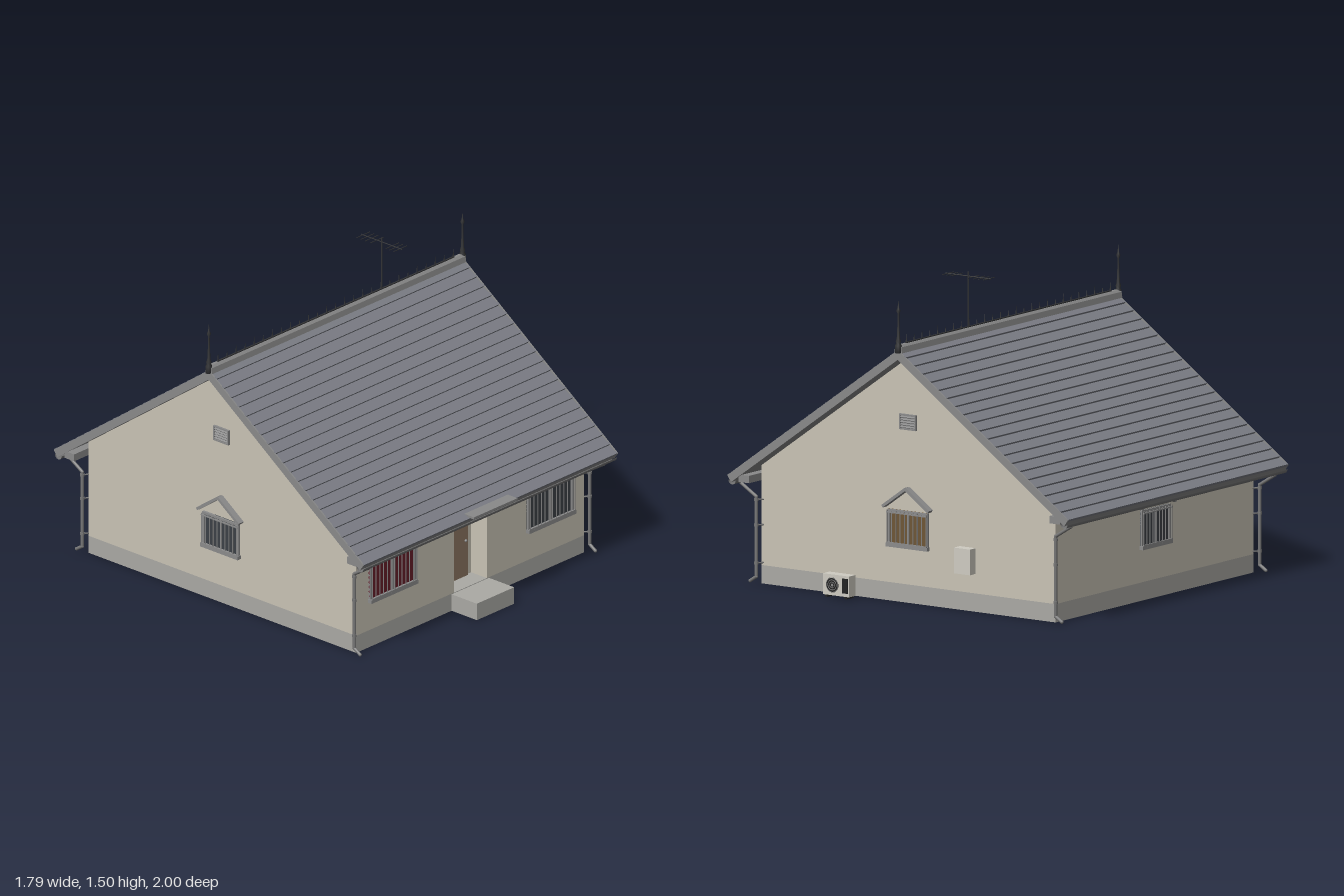
import * as THREE from 'three';

const mat = (color) => new THREE.MeshStandardMaterial({ color, side: THREE.DoubleSide });
const M = {
  wall: mat(0xcac4b6), plinth: mat(0xabaaa5), tile: mat(0x7a7c84), trim: mat(0x8a8a8a), iron: mat(0x333436),
  pipe: mat(0x777777), bar: mat(0x8c8c8c), glass: mat(0x3c4146), red: mat(0x651c28), brown: mat(0x6e5636),
  door: mat(0x8c7662), white: mat(0xcfccc2), black: mat(0x222222),
};

function add(parent, name, geo, material, x = 0, y = 0, z = 0) {
  const m = new THREE.Mesh(geo, material);
  m.name = name;
  m.position.set(x, y, z);
  parent.add(m);
  return m;
}

// Box given by its limits on each axis
function box(parent, name, material, x0, x1, y0, y1, z0, z1) {
  return add(parent, name, new THREE.BoxGeometry(x1 - x0, y1 - y0, z1 - z0), material,
    (x0 + x1) / 2, (y0 + y1) / 2, (z0 + z1) / 2);
}

// Round rod between two points
function rod(parent, name, material, a, b, r, sides = 8) {
  const p = new THREE.Vector3(...a), q = new THREE.Vector3(...b), d = q.clone().sub(p);
  const m = add(parent, name, new THREE.CylinderGeometry(r, r, d.length(), sides), material);
  m.position.copy(p).add(q).multiplyScalar(0.5);
  m.quaternion.setFromUnitVectors(new THREE.Vector3(0, 1, 0), d.normalize());
  return m;
}

// Profile in (z, y) swept along x
function sweepX(pts, x0, x1) {
  const shape = new THREE.Shape(pts.map((p) => new THREE.Vector2(p[0], p[1])));
  const g = new THREE.ExtrudeGeometry(shape, { depth: x1 - x0, bevelEnabled: false });
  return g.rotateY(-Math.PI / 2).translate(x1, 0, 0);
}

function group(parent, name, x = 0, y = 0, z = 0, ry = 0) {
  const g = new THREE.Group();
  g.name = name;
  g.position.set(x, y, z);
  g.rotation.y = ry;
  parent.add(g);
  return g;
}

const XC = -0.01, ZR = -0.012, RIDGE = 1.217, TAN = 0.713;
const A = Math.atan(TAN), SLOPE = 0.983 / Math.cos(A);

// Barred window with a small gabled hood; origin at bottom centre on the wall
function buildWindow(parent, name, x, y, z, ry, w, h, pane) {
  const g = group(parent, name, x, y, z, ry), hw = w / 2, t = 0.012;
  box(g, 'pane', pane, -hw, hw, 0, h, -0.01, 0.004);
  for (const s of [-1, 1]) {
    box(g, 'frameSide', M.bar, s * (hw - t / 2) - t / 2, s * (hw - t / 2) + t / 2, 0, h, 0, 0.012);
    const rise = 0.095, run = hw + 0.018, len = Math.hypot(rise, run);
    const hood = add(g, 'hoodBoard', new THREE.BoxGeometry(len, 0.014, 0.032), M.bar,
      s * run / 2, h + 0.012 + rise / 2, 0.016);
    hood.rotation.z = -s * Math.atan2(rise, run);
  }
  box(g, 'frameTop', M.bar, -hw, hw, h - t, h, 0, 0.012);
  box(g, 'frameSill', M.bar, -hw - 0.004, hw + 0.004, -0.006, t, 0, 0.022);
  box(g, 'mullion', M.bar, -0.005, 0.005, 0, h, 0, 0.01);
  // Grille of vertical bars between two rails
  const n = Math.round(w / 0.026);
  for (let i = 0; i <= n; i++) {
    const bx = -hw + 0.004 + (w - 0.008) * i / n;
    rod(g, 'bar', M.bar, [bx, 0.004, 0.02], [bx, h - 0.004, 0.02], 0.0025, 6);
  }
  for (const ry2 of [0.014, h - 0.014]) box(g, 'rail', M.bar, -hw, hw, ry2 - 0.003, ry2 + 0.003, 0.017, 0.023);
}

// One roof slope with its gutter and two downpipes
function buildRoofSide(parent, name, ry) {
  const g = group(parent, name, XC, 0, ZR, ry), X = 0.873;
  const P = (s, n) => [s * Math.cos(A) + n * Math.sin(A), RIDGE - s * Math.sin(A) + n * Math.cos(A)];
  const rows = 21, tiles = [P(0, -0.013)];
  for (let i = 1; i <= rows; i++) tiles.push(P(SLOPE * i / rows, 0), P(SLOPE * i / rows, -0.011));
  tiles.push(P(SLOPE, -0.016), P(0, -0.016));
  add(g, 'tiles', sweepX(tiles, -X, X), M.tile);
  add(g, 'roofBoards', sweepX([P(0, -0.014), P(SLOPE, -0.014), P(SLOPE, -0.04), P(0, -0.04)], -X, X), M.trim);
  for (const s of [-1, 1]) {
    const x = s * X;
    add(g, 'bargeBoard', sweepX([P(0, -0.003), P(SLOPE, -0.003), P(SLOPE, -0.041), P(0, -0.041)],
      x - 0.004, x + 0.004), M.trim);
  }
  box(g, 'soffit', M.trim, -X + 0.01, X - 0.01, 0.485, 0.52, 0.865, 0.925);
  const half = new THREE.CylinderGeometry(0.021, 0.021, 2 * X, 12, 1, true, Math.PI, Math.PI).rotateZ(Math.PI / 2);
  add(g, 'gutter', half, M.pipe, 0, 0.492, 0.956);
  for (const s of [-1, 1]) {
    const x = s * 0.81;
    const path = [[x, 0.485, 0.956], [x, 0.47, 0.95], [x, 0.415, 0.862], [x, 0.035, 0.862], [x, 0.012, 0.898]];
    for (let i = 0; i + 1 < path.length; i++) {
      rod(g, 'downpipe', M.pipe, path[i], path[i + 1], 0.008, 10);
      add(g, 'pipeElbow', new THREE.SphereGeometry(0.0085, 10, 8), M.pipe, ...path[i + 1]);
    }
    for (const y of [0.1, 0.28, 0.4]) {
      rod(g, 'pipeClamp', M.pipe, [x, y - 0.006, 0.862], [x, y + 0.006, 0.862], 0.011, 10);
      rod(g, 'pipeBracket', M.pipe, [x, y, 0.862], [s * 0.78, y, 0.84], 0.004, 6);
    }
  }
}

export function createModel() {
  const house = new THREE.Group();
  house.name = 'house';
  const WX0 = -0.797, WX1 = 0.773, ZF = 0.84, ZB = -0.855, BASE = 0.087, REC = 0.74;
  const under = (z) => 1.175 - TAN * Math.abs(z - ZR);

  // Walls with a recessed entrance
  box(house, 'plinth', M.plinth, WX0, WX1, 0, BASE, ZB, ZF);
  const gable = [[ZB, BASE], [ZF, BASE], [ZF, under(ZF)], [ZR, under(ZR)], [ZB, under(ZB)]];
  const notched = [[ZB, BASE], [REC, BASE], [REC, 0.5], [ZF, 0.5], ...gable.slice(2)];
  add(house, 'wallRight', sweepX(gable, WX0, -0.122), M.wall);
  add(house, 'wallEntrance', sweepX(notched, -0.122, 0.103), M.wall);
  add(house, 'wallLeft', sweepX(gable, 0.103, WX1), M.wall);
  box(house, 'door', M.door, -0.093, 0.07, BASE, 0.475, REC, REC + 0.01);
  add(house, 'doorHandle', new THREE.SphereGeometry(0.007, 10, 8), M.bar, 0.05, 0.27, REC + 0.016);
  box(house, 'step', M.plinth, -0.14, 0.117, 0, 0.084, ZF - 0.01, 1);
  box(house, 'doorCanopy', M.trim, -0.16, 0.14, 0.52, 0.531, ZF, 1);
  box(house, 'porchLamp', M.white, 0.14, 0.158, 0.425, 0.46, ZF, ZF + 0.018);

  // Windows
  buildWindow(house, 'frontWindowRight', -0.553, 0.235, ZF, 0, 0.315, 0.207, M.red);
  buildWindow(house, 'frontWindowLeft', 0.534, 0.235, ZF, 0, 0.315, 0.207, M.glass);
  buildWindow(house, 'backWindow', XC, 0.25, ZB, Math.PI, 0.23, 0.18, M.glass);
  buildWindow(house, 'sideWindowLeft', WX1, 0.265, -0.01, Math.PI / 2, 0.23, 0.172, M.brown);
  buildWindow(house, 'sideWindowRight', WX0, 0.265, -0.01, -Math.PI / 2, 0.23, 0.172, M.glass);

  // Louvred gable vents
  for (const s of [-1, 1]) {
    const v = group(house, 'gableVent', s > 0 ? WX1 : WX0, 0.858, -0.008, s * Math.PI / 2);
    box(v, 'ventPlate', M.trim, -0.048, 0.048, -0.037, 0.037, -0.005, 0.004);
    for (const e of [-1, 1]) {
      box(v, 'ventSide', M.trim, e * 0.045 - 0.003, e * 0.045 + 0.003, -0.037, 0.037, 0, 0.012);
      box(v, 'ventRail', M.trim, -0.048, 0.048, e * 0.034 - 0.003, e * 0.034 + 0.003, 0, 0.012);
    }
    for (let i = -2; i <= 2; i++) {
      const slat = add(v, 'slat', new THREE.BoxGeometry(0.086, 0.003, 0.012), M.trim, 0, i * 0.012, 0.006);
      slat.rotation.x = 0.6;
    }
  }

  // Roof slopes, ridge cap and cresting
  buildRoofSide(house, 'roofFront', 0);
  buildRoofSide(house, 'roofBack', Math.PI);
  const ridge = group(house, 'ridge', XC, 0, ZR - 0.002);
  add(ridge, 'ridgeCap', sweepX([[-0.022, 1.2], [0.022, 1.2], [0.018, 1.228], [0.008, 1.238], [-0.008, 1.238],
    [-0.018, 1.228]], -0.875, 0.875), M.trim);
  box(ridge, 'crestRail', M.iron, -0.815, 0.815, 1.236, 1.243, -0.004, 0.004);
  for (let i = 0; i < 27; i++) {
    const x = -0.81 + 1.62 * i / 26;
    add(ridge, 'crestSpike', new THREE.ConeGeometry(0.004, i % 2 ? 0.032 : 0.044, 6), M.iron, x, i % 2 ? 1.257 : 1.263, 0);
  }
  const finial = new THREE.LatheGeometry([[0, 1.2], [0.016, 1.2], [0.016, 1.235], [0.01, 1.245], [0.013, 1.255],
    [0.008, 1.27], [0.005, 1.33], [0.004, 1.385], [0.01, 1.4], [0.004, 1.415], [0, 1.452]]
    .map((p) => new THREE.Vector2(...p)), 12);
  for (const s of [-1, 1]) add(ridge, 'finial', finial, M.iron, s * 0.873, 0, 0);

  // Aerial
  const aerial = group(house, 'aerial', 0.305, 0, ZR);
  rod(aerial, 'mast', M.iron, [0, 1.21, 0], [0, 1.5, 0], 0.004);
  rod(aerial, 'boom', M.iron, [0, 1.48, -0.13], [0, 1.48, 0.13], 0.0025, 6);
  for (const z of [-0.118, -0.09, -0.063, -0.03, 0.067, 0.092, 0.117]) {
    rod(aerial, 'element', M.iron, [-0.045, 1.48, z], [0.045, 1.48, z], 0.002, 6);
  }

  // Meter box and outdoor cooling unit on the left side
  box(house, 'meterBox', M.white, WX1, 0.82, 0.18, 0.302, -0.394, -0.303);
  const unit = group(house, 'coolingUnit', 0.888, 0, 0.328, Math.PI / 2);
  box(unit, 'casing', M.white, -0.075, 0.075, 0.014, 0.113, -0.053, -0.002);
  const disc = (name, r, m, z) => add(unit, name, new THREE.CircleGeometry(r, 24), m, -0.022, 0.063, z);
  disc('fanOpening', 0.036, M.black, -0.001);
  for (const r of [0.014, 0.024, 0.034]) {
    add(unit, 'fanGuard', new THREE.TorusGeometry(r, 0.0015, 6, 24), M.trim, -0.022, 0.063, 0);
  }
  disc('fanHub', 0.007, M.trim, 0);
  box(unit, 'sideGrille', M.black, 0.036, 0.068, 0.03, 0.1, -0.004, 0);
  for (const x of [-0.055, 0.055]) box(unit, 'foot', M.black, x - 0.008, x + 0.008, 0.004, 0.014, -0.055, 0);

  return house;
}
